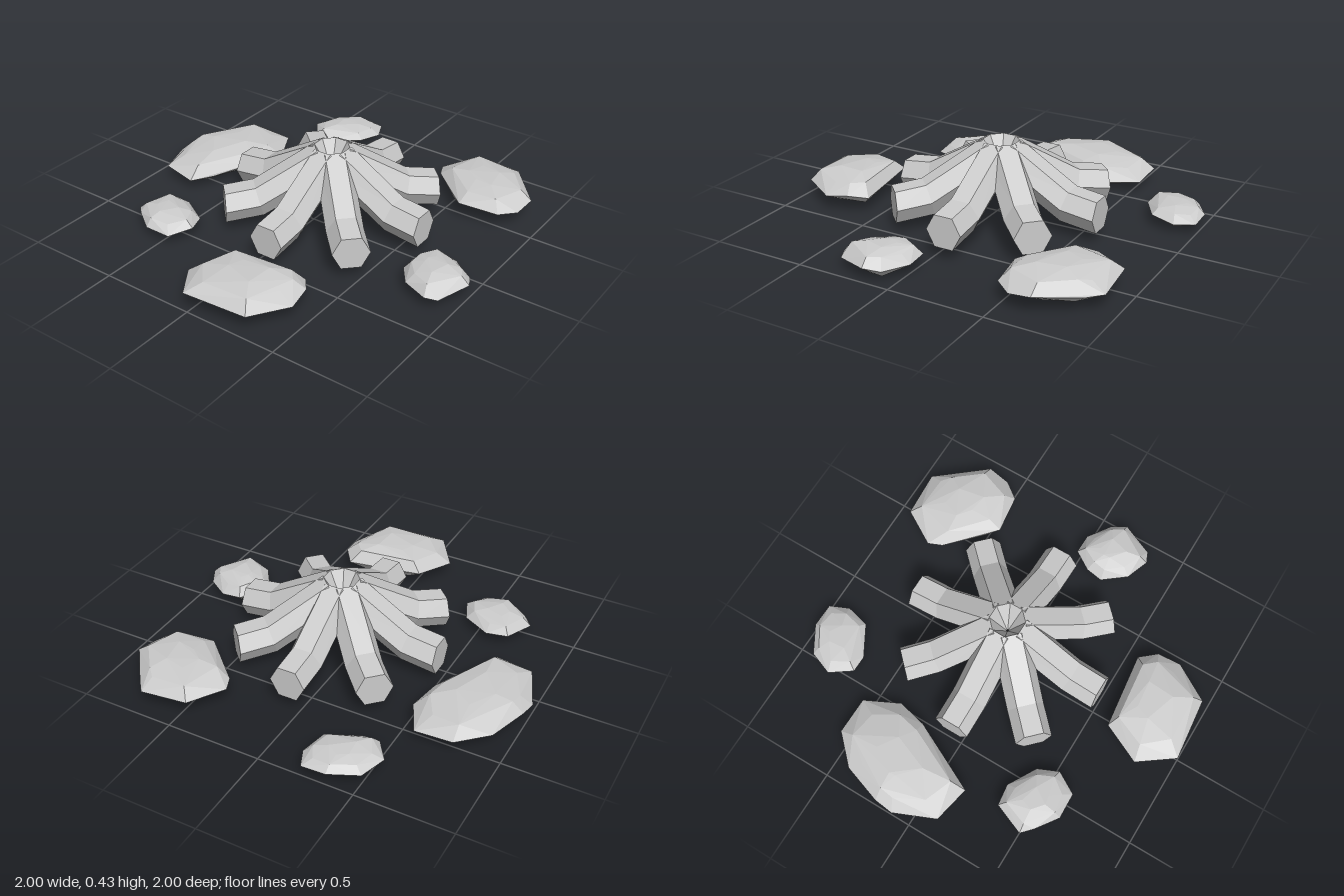
import * as THREE from 'three';
import { ConvexGeometry } from 'three/addons/geometries/ConvexGeometry.js';

const material = new THREE.MeshStandardMaterial({ color: 0xcccccc, flatShading: true });

// Hexagonal log bent once, running along +x; each section is [top x, top y, bottom x, bottom y]
function logGeometry() {
  const sections = [[0.555, 0.225, 0.555, 0.06], [0.4, 0.245, 0.36, 0.085], [0.085, 0.43, 0.005, 0.285]];
  const hexagon = [[-0.095, 0.5], [-0.05, 0], [0.05, 0], [0.095, 0.5], [0.05, 1], [-0.05, 1]];
  const rings = sections.map(([tx, ty, bx, by]) =>
    hexagon.map(([z, t]) => [tx + (bx - tx) * t, ty + (by - ty) * t, z]));
  const positions = [];
  const tri = (a, b, c) => positions.push(...a, ...b, ...c);
  for (let i = 0; i < rings.length - 1; i++) {
    for (let k = 0; k < 6; k++) {
      const n = (k + 1) % 6;
      tri(rings[i][k], rings[i + 1][k], rings[i + 1][n]);
      tri(rings[i][k], rings[i + 1][n], rings[i][n]);
    }
  }
  const outer = rings[0], inner = rings[rings.length - 1];
  for (let k = 1; k < 5; k++) {
    tri(outer[0], outer[k], outer[k + 1]);
    tri(inner[0], inner[k + 1], inner[k]);
  }
  const geometry = new THREE.BufferGeometry();
  geometry.setAttribute('position', new THREE.Float32BufferAttribute(positions, 3));
  geometry.computeVertexNormals();
  return geometry;
}

// Faceted stone: hull of its widest outline and shrunken rings above and below
function stoneGeometry(outline, bottom, top) {
  const n = outline.length;
  const cx = outline.reduce((s, p) => s + p[0], 0) / n;
  const cz = outline.reduce((s, p) => s + p[1], 0) / n;
  const points = [];
  // [scale, height fraction, height wobble, phase]
  const rings = [[0.62, 0.05, 0.05, 0], [1, 0.45, 0.08, 1], [0.74, 0.82, 0.06, 2], [0.36, 0.96, 0.04, 3]];
  for (const [scale, height, wobble, phase] of rings) {
    outline.forEach(([x, z], i) => {
      const h = height + wobble * Math.sin(i * 2.3 + phase);
      const s = scale === 1 ? 1 : scale * (1 + 0.06 * Math.sin(i * 3.7 + phase));
      points.push(new THREE.Vector3(cx + (x - cx) * s, bottom + (top - bottom) * h, cz + (z - cz) * s));
    });
  }
  return new ConvexGeometry(points);
}

const stones = [
  { name: 'largeStoneLeft', bottom: 0, top: 0.14, outline: [[-0.78, -0.55], [-0.58, -0.55], [-0.49, -0.37], [-0.53, -0.21], [-0.65, 0.04], [-0.71, 0.16], [-0.91, 0.12], [-1, -0.1], [-0.99, -0.2], [-0.92, -0.41]] },
  { name: 'smallStoneBack', bottom: 0.015, top: 0.105, outline: [[-0.36, -1], [-0.23, -1], [-0.185, -0.9], [-0.22, -0.77], [-0.38, -0.68], [-0.47, -0.68], [-0.55, -0.79], [-0.5, -0.92]] },
  { name: 'largeStoneBack', bottom: 0.025, top: 0.165, outline: [[0.45, -0.92], [0.7, -0.94], [0.76, -0.87], [0.905, -0.68], [0.89, -0.56], [0.82, -0.47], [0.61, -0.44], [0.55, -0.5], [0.37, -0.66], [0.34, -0.735]] },
  { name: 'smallStoneRight', bottom: 0.005, top: 0.13, outline: [[0.73, -0.02], [0.84, -0.02], [0.96, 0.06], [1, 0.14], [0.93, 0.31], [0.87, 0.335], [0.74, 0.29], [0.655, 0.17], [0.665, 0.08]] },
  { name: 'largeStoneFront', bottom: 0.025, top: 0.17, outline: [[-0.05, 0.61], [0.12, 0.59], [0.36, 0.56], [0.425, 0.645], [0.44, 0.77], [0.32, 0.965], [-0.02, 1], [-0.145, 0.82]] },
  { name: 'smallStoneFront', bottom: 0.015, top: 0.115, outline: [[-0.69, 0.34], [-0.575, 0.325], [-0.425, 0.41], [-0.38, 0.52], [-0.445, 0.635], [-0.585, 0.64], [-0.7, 0.56], [-0.755, 0.505]] },
];

export function createModel() {
  const model = new THREE.Group();
  model.name = 'campfire';

  // Eight logs leaning together
  const logs = new THREE.Group();
  logs.name = 'logs';
  logs.position.set(0.068, 0, -0.062);
  const geometry = logGeometry();
  for (let i = 0; i < 8; i++) {
    const log = new THREE.Mesh(geometry, material);
    log.name = `log${i + 1}`;
    log.rotation.y = i * Math.PI / 4;
    logs.add(log);
  }
  model.add(logs);

  // Ring of flat stones
  const ring = new THREE.Group();
  ring.name = 'stoneRing';
  for (const { name, outline, bottom, top } of stones) {
    const stone = new THREE.Mesh(stoneGeometry(outline, bottom, top), material);
    stone.name = name;
    ring.add(stone);
  }
  model.add(ring);
  return model;
}
